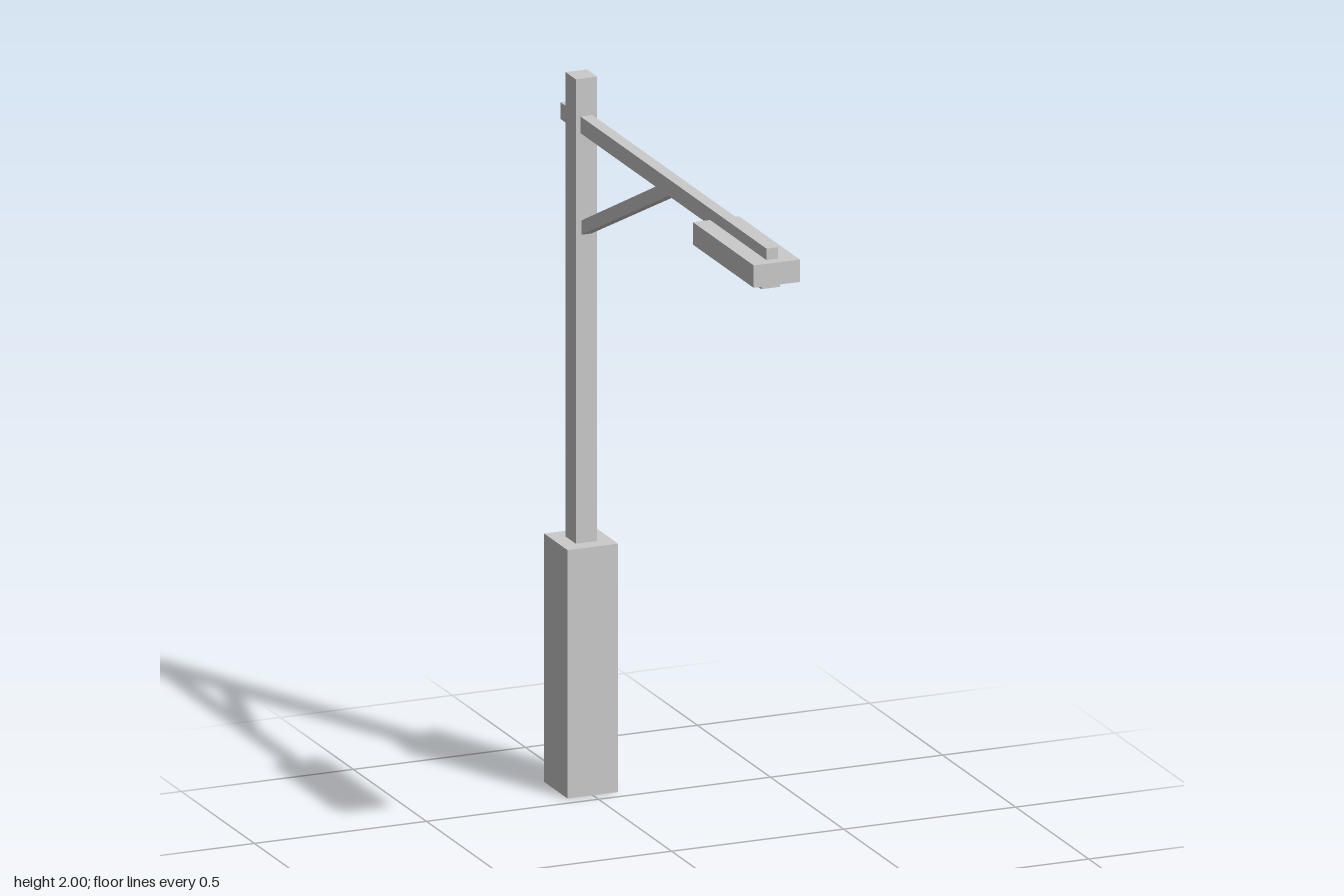
import * as THREE from 'three';

const material = new THREE.MeshStandardMaterial({ color: 0xcccccc, flatShading: true });

// Box centred on x = 0, given its width and its y and z ranges
function block(name, width, y0, y1, z0, z1) {
  const mesh = new THREE.Mesh(new THREE.BoxGeometry(width, y1 - y0, z1 - z0), material);
  mesh.position.set(0, (y0 + y1) / 2, (z0 + z1) / 2);
  mesh.name = name;
  return mesh;
}

export function createModel() {
  const model = new THREE.Group();
  model.name = 'streetLamp';

  // Upright post on a thick square base
  model.add(block('base', 0.147, 0, 0.697, -0.698, -0.538));
  model.add(block('post', 0.062, 0.697, 2, -0.651, -0.582));

  // Arm passing through the post, with the lamp hung at its end
  model.add(block('arm', 0.034, 1.847, 1.894, -0.72, 0.69));
  model.add(block('lampHousing', 0.134, 1.799, 1.862, 0.304, 0.72));
  model.add(block('lampLens', 0.054, 1.778, 1.799, 0.346, 0.678));

  // Diagonal brace, cut flush against post and arm (profile in z, y)
  const width = 0.03;
  const profile = new THREE.Shape([
    [-0.582, 1.562], [0.02, 1.847], [-0.07, 1.847], [-0.582, 1.602],
  ].map(([z, y]) => new THREE.Vector2(-z, y)));
  const geometry = new THREE.ExtrudeGeometry(profile, { depth: width, bevelEnabled: false });
  geometry.translate(0, 0, -width / 2).rotateY(Math.PI / 2);
  const brace = new THREE.Mesh(geometry, material);
  brace.name = 'brace';
  model.add(brace);

  return model;
}
